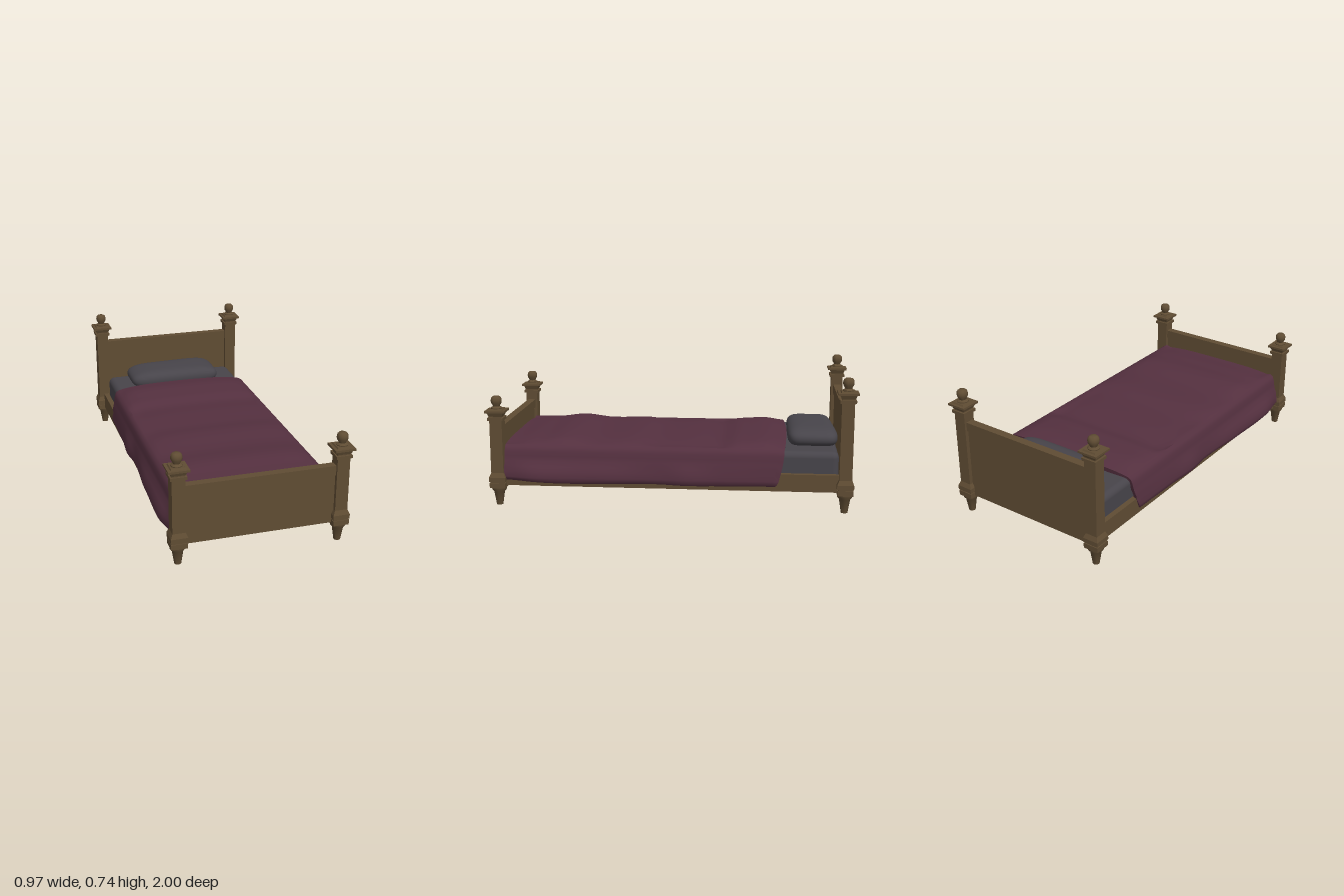
import * as THREE from 'three';
import { toCreasedNormals } from 'three/addons/utils/BufferGeometryUtils.js';
import { RoundedBoxGeometry } from 'three/addons/geometries/RoundedBoxGeometry.js';

const material = (name, color, side = THREE.FrontSide) => {
  const m = new THREE.MeshStandardMaterial({ color, side });
  m.name = name;
  return m;
};

const wood = material('wood', 0x5f4c33);
const plum = material('plum blanket', 0x54303f, THREE.DoubleSide);
const linen = material('grey linen', 0x47444a);

function add(parent, name, geometry, mat, x = 0, y = 0, z = 0) {
  const mesh = new THREE.Mesh(geometry, mat);
  mesh.name = name;
  mesh.position.set(x, y, z);
  parent.add(mesh);
  return mesh;
}

const box = (parent, name, w, h, d, x, y, z, mat = wood) =>
  add(parent, name, new THREE.BoxGeometry(w, h, d), mat, x, y, z);

// Square block tapering from half width a at y0 to half width b at y1
function block(parent, name, y0, y1, a, b = a) {
  const g = new THREE.CylinderGeometry(b * Math.SQRT2, a * Math.SQRT2, y1 - y0, 4);
  g.rotateY(Math.PI / 4);
  return add(parent, name, toCreasedNormals(g, 0.3), wood, 0, (y0 + y1) / 2, 0);
}

function turned(parent, name, points, y, segments) {
  const g = new THREE.LatheGeometry(points.map(p => new THREE.Vector2(...p)), segments);
  return add(parent, name, toCreasedNormals(g, 0.9), wood, 0, y, 0);
}

// Corner post: turned foot, square shaft, stepped cap and finial; capY is the underside of the cap plate
function makePost(name, x, z, capY) {
  const post = new THREE.Group();
  post.name = name;
  post.position.set(x, 0, z);
  turned(post, 'foot', [[0, 0], [0.018, 0], [0.03, 0.075], [0.041, 0.088], [0.042, 0.105], [0, 0.105]], 0, 12);
  block(post, 'lowerCollar', 0.1, 0.128, 0.043);
  block(post, 'baseBlock', 0.128, 0.136, 0.038);
  block(post, 'baseBlock', 0.136, 0.16, 0.045);
  block(post, 'baseTaper', 0.16, 0.185, 0.045, 0.034);
  block(post, 'shaft', 0.16, capY - 0.01, 0.034);
  block(post, 'upperCollar', capY - 0.044, capY - 0.028, 0.043);
  block(post, 'capFlare', capY - 0.022, capY, 0.036, 0.045);
  block(post, 'capPlate', capY, capY + 0.011, 0.055);
  block(post, 'capStep', capY + 0.011, capY + 0.018, 0.04, 0.036);
  turned(post, 'finial', [[0.03, 0], [0.031, 0.006], [0.019, 0.014], [0.021, 0.02], [0.029, 0.034],
    [0.03, 0.047], [0.027, 0.06], [0.019, 0.068], [0, 0.07]], capY + 0.017, 14);
  return post;
}

// Panel between two posts with a thicker top rail
function makeBoard(parent, name, z, railBottom) {
  const board = new THREE.Group();
  board.name = name;
  box(board, 'panel', 0.8, railBottom - 0.11, 0.026, 0, (railBottom + 0.11) / 2, z);
  box(board, 'topRail', 0.8, 0.05, 0.044, 0, railBottom + 0.025, z);
  parent.add(board);
}

// Linear interpolation through [position, value] pairs
function sample(pairs, t) {
  for (let i = 1; i < pairs.length; i++) {
    const [a, va] = pairs[i - 1], [b, vb] = pairs[i];
    if (t <= b) return va + (vb - va) * THREE.MathUtils.smoothstep(t, a, b);
  }
  return pairs[pairs.length - 1][1];
}

// Blanket: cross-sections running from the turned-down edge to the foot of the bed
function blanketGeometry() {
  const crown = [[-0.64, 0.352], [-0.5, 0.368], [-0.36, 0.36], [-0.26, 0.337], [-0.1, 0.345], [0.05, 0.342],
    [0.22, 0.359], [0.4, 0.352], [0.6, 0.371], [0.75, 0.355], [0.92, 0.338]];
  const flare = [[-0.62, 0.448], [-0.3, 0.452], [-0.1, 0.464], [0.05, 0.452], [0.4, 0.47], [0.73, 0.48], [0.92, 0.455]];
  const hem = [[-0.6, 0.135], [-0.2, 0.132], [0.2, 0.137], [0.55, 0.133], [0.92, 0.145]];
  const rows = 48, half = 14, cols = half * 2;
  const pos = [], index = [];
  for (let r = 0; r <= rows; r++) {
    const t = Math.max(0, r - 1) / (rows - 1);
    const z = -0.62 + 1.54 * t;
    const top = sample(crown, z), wide = sample(flare, z), low = sample(hem, z);
    const profile = [[0, top], [0.12, top], [0.23, top - 0.002], [0.31, top - 0.007], [0.365, top - 0.014],
      [0.395, 0.333], [0.413, 0.322], [0.421, 0.3], [0.426, 0.275], [0.43, 0.25],
      [(wide + 0.43) / 2, 0.222], [wide - 0.01, 0.195], [wide, 0.165], [wide - 0.004, low + 0.01], [wide - 0.012, low]];
    for (let c = -half; c <= half; c++) {
      const k = Math.abs(c);
      let [x, y] = profile[k];
      const lag = k > 5 ? 0.05 * ((k - 5) / 9) ** 2 : -0.018 * (1 - k / 5);
      // the first row tucks the edge in towards the mattress
      if (r === 0) {
        if (k < 6) y -= 0.035;
        else x -= 0.025;
      }
      pos.push(Math.sign(c) * x, y, z + lag * (1 - t) ** 3 + (r === 0 ? 0.006 : 0));
    }
  }
  for (let r = 0; r < rows; r++) {
    for (let c = 0; c < cols; c++) {
      const a = r * (cols + 1) + c, b = a + cols + 1;
      index.push(a, b, a + 1, b, b + 1, a + 1);
    }
  }
  const g = new THREE.BufferGeometry();
  g.setAttribute('position', new THREE.Float32BufferAttribute(pos, 3));
  g.setIndex(index);
  return toCreasedNormals(g, 0.8);
}

// Pillow: a sphere squared off in plan, with a slightly skewed back edge
function pillowGeometry() {
  const g = new THREE.SphereGeometry(1, 40, 20);
  const p = g.attributes.position;
  const square = (v, e) => Math.sign(v) * Math.abs(v) ** e;
  for (let i = 0; i < p.count; i++) {
    const y = p.getY(i), ring = Math.sqrt(Math.max(0, 1 - y * y)) || 1;
    const spread = ring < 1e-4 || Math.abs(y) > 0.9999 ? 0 : ring ** 0.5;
    const x = square(p.getX(i) / ring, 0.35) * spread;
    const z = square(p.getZ(i) / ring, 0.35) * spread;
    p.setXYZ(i, x * 0.282, square(y, 0.85) * 0.058, z * 0.135 + (z < 0 ? z * x * 0.016 : 0));
  }
  return toCreasedNormals(g, 1.2);
}

export function createModel() {
  const bed = new THREE.Group();
  bed.name = 'bed';

  for (const s of [-1, 1]) {
    const side = s > 0 ? 'left' : 'right';
    bed.add(makePost(side + 'FootPost', s * 0.43, 0.945, 0.522));
    bed.add(makePost(side + 'HeadPost', s * 0.43, -0.945, 0.648));
    box(bed, side + 'SideRail', 0.03, 0.095, 1.86, s * 0.42, 0.1575, 0);
    box(bed, side + 'SlatLedge', 0.025, 0.022, 1.84, s * 0.395, 0.129, 0);
  }
  makeBoard(bed, 'headboard', -0.945, 0.508);
  makeBoard(bed, 'footboard', 0.945, 0.385);

  // Slats carrying the mattress
  for (let i = 0; i < 15; i++) {
    box(bed, 'slat', 0.81, 0.02, 0.042, 0, 0.15, -0.84 + i * 0.12);
  }

  add(bed, 'mattress', new RoundedBoxGeometry(0.806, 0.162, 1.83, 5, 0.035), linen, 0, 0.241, 0.003);
  add(bed, 'pillow', pillowGeometry(), linen, -0.01, 0.358, -0.773);
  add(bed, 'blanket', blanketGeometry(), plum);
  return bed;
}
